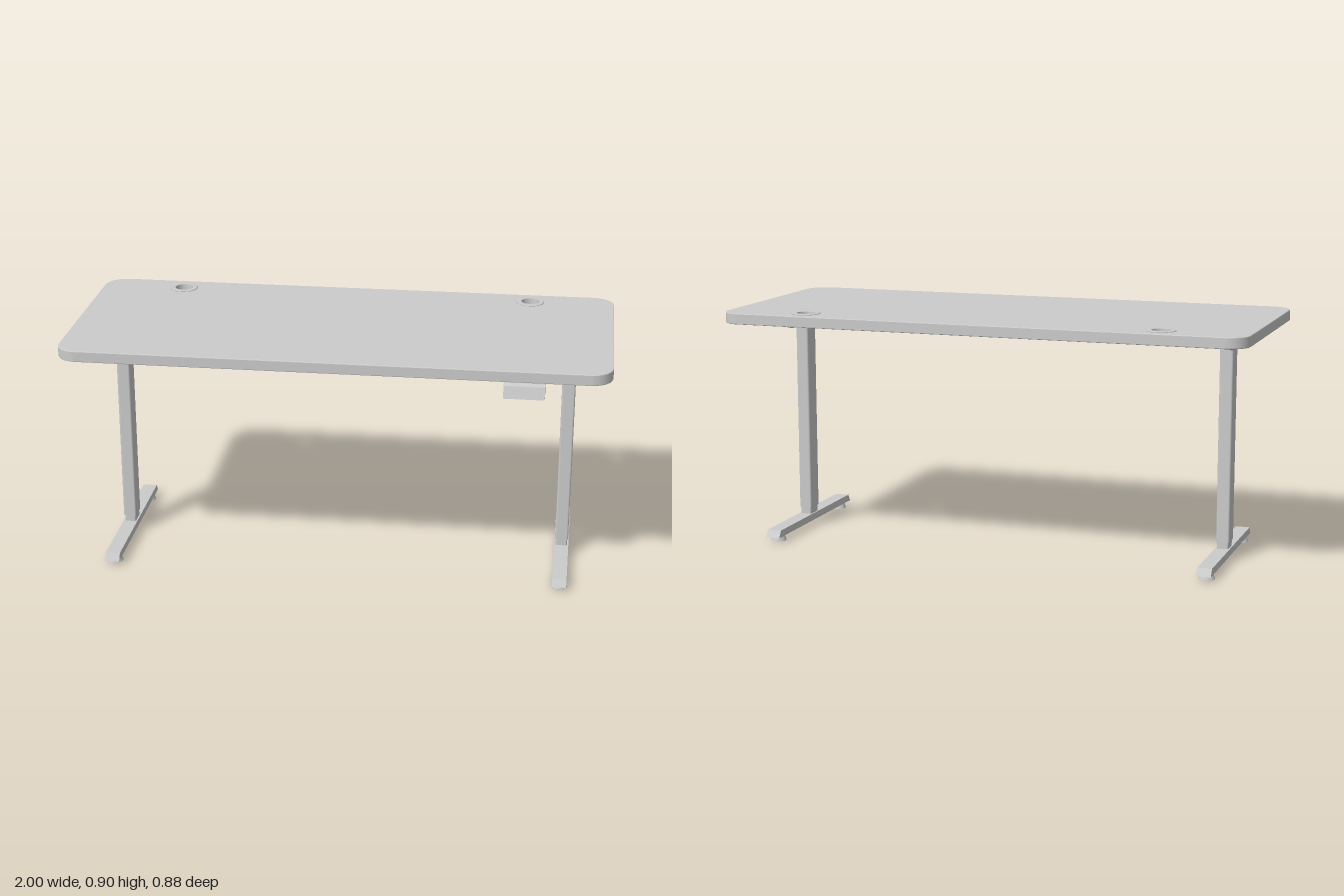
import * as THREE from 'three';

const grey = new THREE.MeshStandardMaterial({ color: 0xcccccc });

function add(parent, name, geometry, x = 0, y = 0, z = 0) {
  const mesh = new THREE.Mesh(geometry, grey);
  mesh.name = name;
  mesh.position.set(x, y, z);
  parent.add(mesh);
  return mesh;
}

// Box given by its limits on each axis
function block(parent, name, [x0, x1], [y0, y1], [z0, z1]) {
  return add(parent, name, new THREE.BoxGeometry(x1 - x0, y1 - y0, z1 - z0),
    (x0 + x1) / 2, (y0 + y1) / 2, (z0 + z1) / 2);
}

function roundedRect(w, d, r) {
  const s = new THREE.Shape();
  const x = w / 2 - r, y = d / 2 - r;
  s.absarc(x, y, r, 0, Math.PI / 2);
  s.absarc(-x, y, r, Math.PI / 2, Math.PI);
  s.absarc(-x, -y, r, Math.PI, Math.PI * 1.5);
  s.absarc(x, -y, r, Math.PI * 1.5, Math.PI * 2);
  s.closePath();
  return s;
}

// Plan outline raised along y
function raise(shape, height, bevel = 0) {
  return new THREE.ExtrudeGeometry(shape, {
    depth: height - 2 * bevel, bevelEnabled: bevel > 0, bevelSize: bevel,
    bevelOffset: -bevel, bevelThickness: bevel, bevelSegments: 2, curveSegments: 10,
  }).rotateX(-Math.PI / 2).translate(0, bevel, 0);
}

// Side outline of [z, y] points, extruded across x and centred on it
function sideProfile(points, width) {
  const shape = new THREE.Shape(points.map(([z, y]) => new THREE.Vector2(-z, y)));
  return new THREE.ExtrudeGeometry(shape, { depth: width, bevelEnabled: false })
    .translate(0, 0, -width / 2).rotateY(Math.PI / 2);
}

export function createModel() {
  const desk = new THREE.Group();
  desk.name = 'standingDesk';

  // Desktop with two cable holes
  const top = roundedRect(2, 0.855, 0.08);
  for (const x of [-0.68, 0.68]) {
    const hole = new THREE.Path();
    hole.absarc(x, 0.3425, 0.034, 0, Math.PI * 2, true);
    top.holes.push(hole);
  }
  add(desk, 'desktop', raise(top, 0.041, 0.003), 0, 0.857, -0.0125);

  // Cable grommets: ring with a sleeve through the desktop
  const ring = [[0.033, 0.856], [0.036, 0.856], [0.036, 0.897], [0.053, 0.897],
    [0.053, 0.9], [0.05, 0.902], [0.036, 0.902], [0.033, 0.9], [0.033, 0.856]]
    .map(([r, y]) => new THREE.Vector2(r, y));
  for (const x of [-0.68, 0.68]) {
    add(desk, 'grommet', new THREE.LatheGeometry(ring, 32), x, 0, -0.355);
  }

  // Leg assemblies
  for (const side of [-1, 1]) {
    const leg = new THREE.Group();
    leg.name = side > 0 ? 'leftLeg' : 'rightLeg';
    const x = side * 0.845;
    const span = (a, b) => [Math.min(side * a, side * b), Math.max(side * a, side * b)];

    add(leg, 'column', raise(roundedRect(0.05, 0.074, 0.007), 0.735), x, 0.075, -0.01);
    add(leg, 'innerColumn', raise(roundedRect(0.043, 0.066, 0.006), 0.04), x, 0.045, -0.01);
    add(leg, 'foot', sideProfile(
      [[0.327, 0.022], [-0.345, 0.022], [-0.327, 0.049], [0.31, 0.049]], 0.054), x);
    for (const z of [0.272, -0.292]) {
      add(leg, 'footPad', new THREE.CylinderGeometry(0.024, 0.03, 0.018, 20), x, 0.011, z);
      add(leg, 'padStem', new THREE.CylinderGeometry(0.01, 0.01, 0.008, 12), x, 0.02, z);
    }

    // Tapered side bracket, its top flange and the drive housing
    add(leg, 'sideBracket', sideProfile([[0.157, 0.857], [0.157, 0.82], [0.06, 0.797],
      [-0.075, 0.797], [-0.18, 0.82], [-0.18, 0.857]], 0.008), side * 0.874);
    block(leg, 'bracketFlange', span(0.82, 0.9), [0.85, 0.857], [-0.18, 0.157]);
    block(leg, 'driveHousing', span(0.71, 0.872), [0.803, 0.85], [-0.055, 0.035]);

    // Wide outer rail sleeves
    for (const z of [0.06, -0.08]) {
      block(leg, 'railSleeve', span(0.4, 0.872), [0.808, 0.852], [z - 0.018, z + 0.018]);
    }
    desk.add(leg);
  }

  // Crossbeam rails and the shallow tray between them
  for (const z of [0.06, -0.08]) {
    block(desk, 'crossRail', [-0.72, 0.72], [0.812, 0.85], [z - 0.015, z + 0.015]);
  }
  block(desk, 'centreTray', [-0.2, 0.43], [0.85, 0.857], [-0.1, 0.09]);

  // Height controller with display and buttons on its sloped face
  const control = new THREE.Group();
  control.name = 'controller';
  add(control, 'controllerBody', sideProfile(
    [[0.44, 0.805], [0.343, 0.805], [0.343, 0.857], [0.42, 0.857], [0.427, 0.848]], 0.145), 0.692);
  const face = new THREE.Group();
  face.name = 'controlFace';
  face.position.set(0.692, 0.828, 0.4335);
  face.rotation.x = -0.29;
  add(face, 'display', new THREE.BoxGeometry(0.034, 0.012, 0.003), 0, 0.006, 0);
  for (const x of [-0.055, -0.035, 0.035, 0.055]) {
    add(face, 'button', new THREE.CylinderGeometry(0.004, 0.004, 0.003, 12).rotateX(Math.PI / 2),
      x, -0.006, 0);
  }
  control.add(face);
  desk.add(control);

  // Controller cable running back to the frame
  const path = new THREE.CatmullRomCurve3([[0.35, 0.832], [0.32, 0.83], [0.25, 0.825],
    [0.18, 0.822], [0.13, 0.822], [0.07, 0.826]].map(([z, y]) => new THREE.Vector3(0.7, y, z)));
  add(desk, 'cable', new THREE.TubeGeometry(path, 30, 0.005, 8));

  return desk;
}
